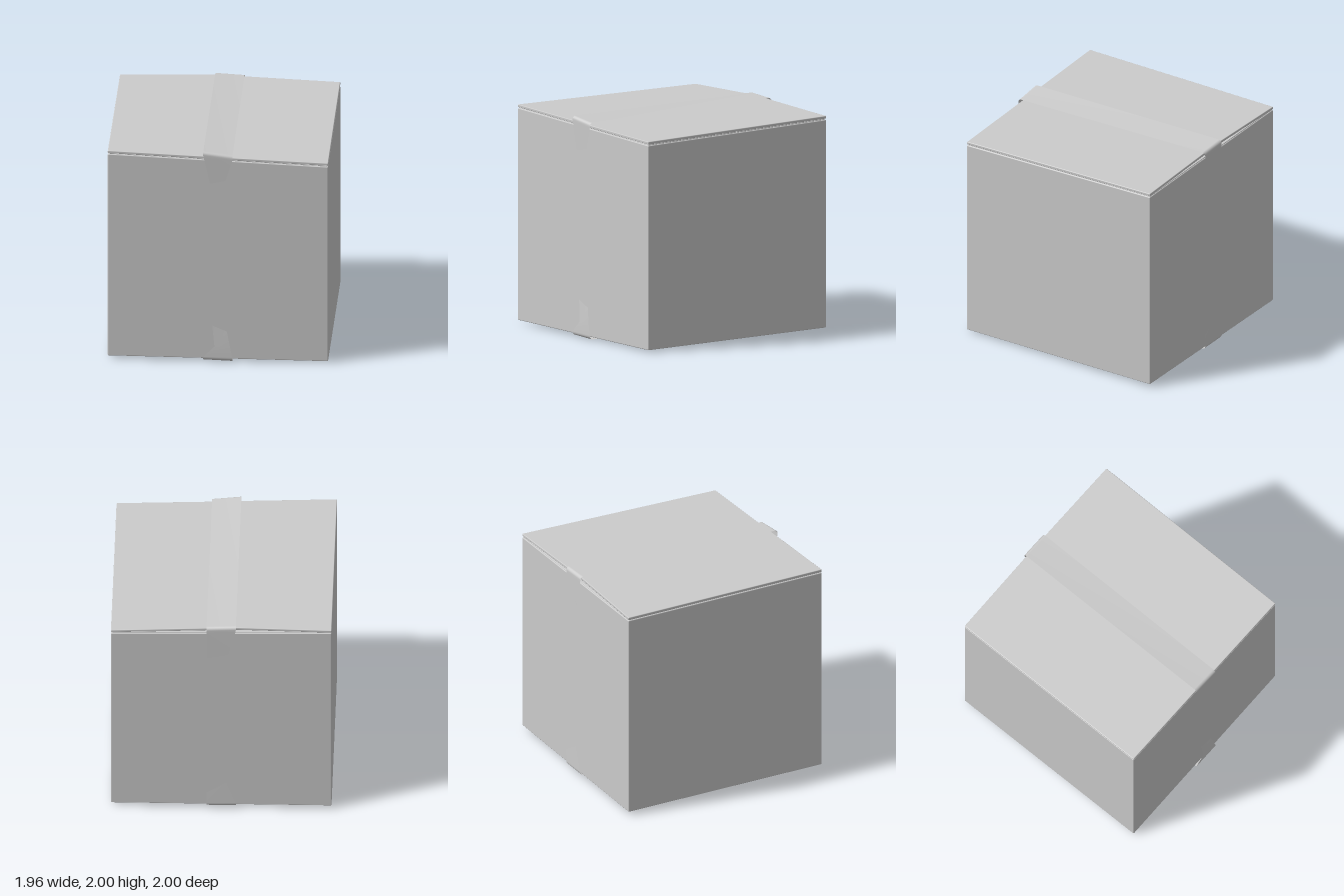
import * as THREE from 'three';
import { RoundedBoxGeometry } from 'three/addons/geometries/RoundedBoxGeometry.js';

const material = new THREE.MeshStandardMaterial({ color: 0xcccccc });
const tapeMaterial = new THREE.MeshStandardMaterial({ color: 0xcccccc, side: THREE.DoubleSide });
const lerp = THREE.MathUtils.lerp;

// Softly edged slab; heights are [front -x, front +x, back -x, back +x]
function slab(name, x0, x1, z0, z1, bottom, top, radius = 0.006) {
  const geometry = new RoundedBoxGeometry(x1 - x0, 1, z1 - z0, 2, radius);
  geometry.translate((x0 + x1) / 2, 0, (z0 + z1) / 2);
  const p = geometry.attributes.position;
  const height = (c, u, v) => lerp(lerp(c[2], c[3], u), lerp(c[0], c[1], u), v);
  for (let i = 0; i < p.count; i++) {
    const u = (p.getX(i) - x0) / (x1 - x0);
    const v = (p.getZ(i) - z0) / (z1 - z0);
    const y = p.getY(i);
    p.setY(i, y > 0 ? height(top, u, v) + y - 0.5 : height(bottom, u, v) + y + 0.5);
  }
  const mesh = new THREE.Mesh(geometry, material);
  mesh.name = name;
  return mesh;
}

// Slab hanging a fixed thickness below its top heights
const flap = (name, x0, x1, z0, z1, top, thickness = 0.025) =>
  slab(name, x0, x1, z0, z1, top.map((y) => y - thickness), top);

// Rows of the rounded fold; side is +1 front / -1 back, up is +1 top / -1 bottom
function fold(side, up, yLeft, yRight) {
  const rows = [], r = 0.03;
  for (let i = 0; i <= 5; i++) {
    const a = (i / 5) * Math.PI / 2;
    const drop = up * r * (1 - Math.sin(a));
    rows.push([-0.13, yLeft - drop, 0.13, yRight - drop, side * (1 - r + r * Math.cos(a))]);
  }
  return rows;
}

// Tape sheet lofted through rows of [x, y, x, y, z]
function tape(name, rows) {
  const points = [], index = [];
  rows.forEach(([xa, ya, xb, yb, z], i) => {
    points.push(xa, ya, z, xb, yb, z);
    const k = i * 2;
    if (i) index.push(k - 2, k, k - 1, k - 1, k, k + 1);
  });
  const geometry = new THREE.BufferGeometry();
  geometry.setAttribute('position', new THREE.Float32BufferAttribute(points, 3));
  geometry.setIndex(index);
  geometry.computeVertexNormals();
  const mesh = new THREE.Mesh(geometry, tapeMaterial);
  mesh.name = name;
  return mesh;
}

export function createModel() {
  const group = new THREE.Group();
  group.name = 'cardboardBox';
  const w = 0.98;

  // Box body, slightly crooked
  group.add(slab('boxBody', -w, w, -w, w,
    [0.03, 0.014, 0.032, 0.03], [1.938, 1.855, 1.935, 1.9], 0.008));

  // Inner flaps tucked below the lid
  group.add(flap('innerFrontFlap', -0.97, 0.97, 0.002, 0.972, [1.944, 1.864, 1.942, 1.887], 0.02));
  group.add(flap('innerBackFlap', -0.97, 0.97, -0.972, -0.002, [1.942, 1.887, 1.942, 1.908], 0.02));

  // Outer lid flaps meeting under the tape
  group.add(flap('outerRightFlap', -w, -0.002, -w, w, [1.97, 1.93, 1.966, 1.985]));
  group.add(flap('outerLeftFlap', 0.002, w, -w, w, [1.928, 1.89, 1.978, 1.935]));

  // Top tape with torn ends folded over front and back
  group.add(tape('topTape', [
    [-0.07, 1.68, 0.07, 1.71, 0.996],
    [-0.125, 1.93, 0.13, 1.905, 1],
    ...fold(1, 1, 1.98, 1.95),
    ...fold(-1, 1, 2, 1.985).reverse(),
    [-0.125, 1.94, 0.13, 1.93, -1],
    [-0.065, 1.69, 0.13, 1.65, -0.998],
  ]));

  // Bottom tape, torn with a notch at the front
  group.add(tape('bottomTape', [
    [-0.05, 0.335, 0.08, 0.28, 0.985],
    [-0.03, 0.14, 0.108, 0.14, 0.998],
    [-0.13, 0.042, 0.128, 0.04, 1],
    ...fold(1, -1, 0.01, 0),
    ...fold(-1, -1, 0.025, 0.022).reverse(),
    [-0.125, 0.06, 0.13, 0.06, -1],
    [-0.045, 0.28, 0.13, 0.17, -0.998],
  ]));

  return group;
}
